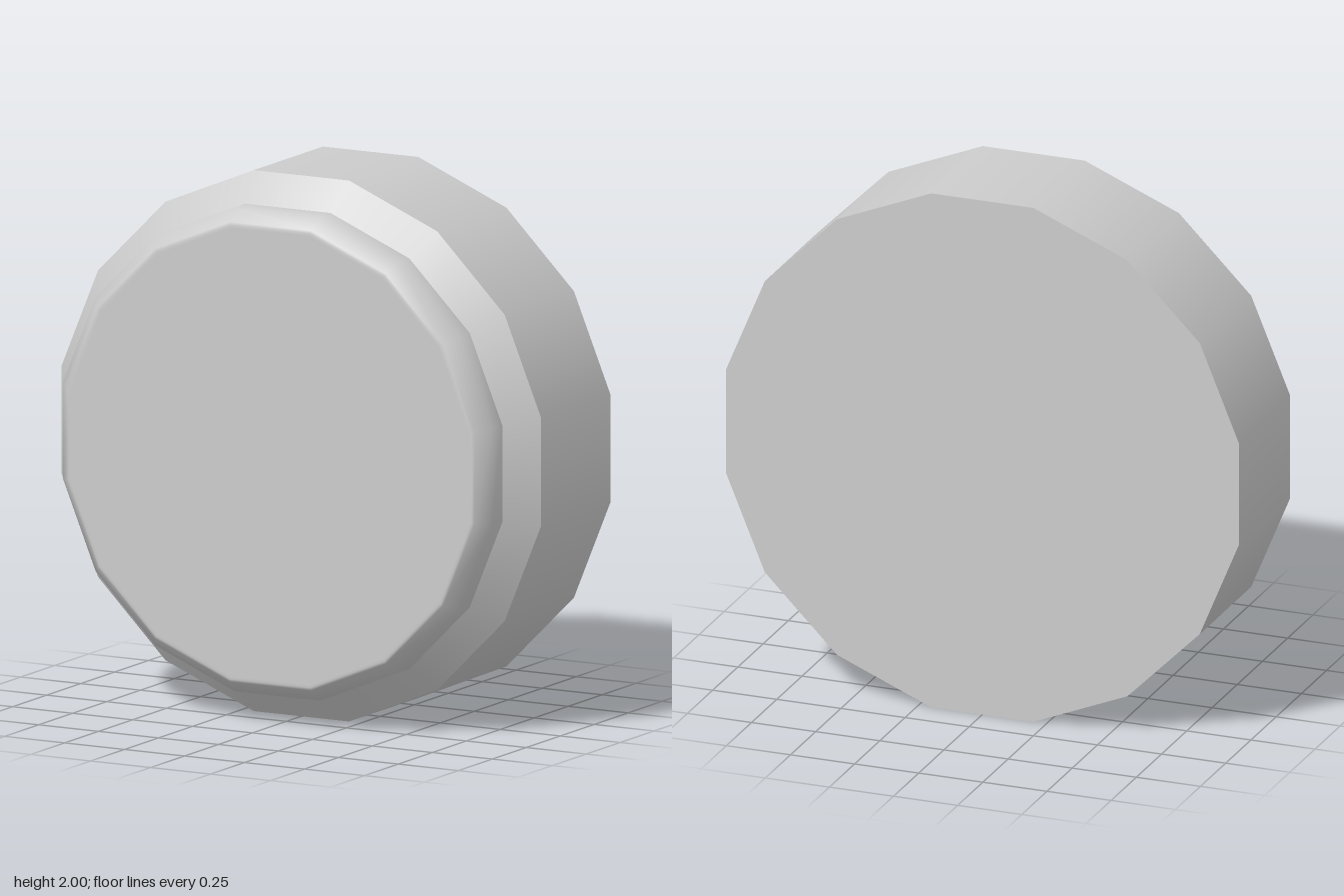
import * as THREE from 'three';

const SIDES = 16;
const gray = new THREE.MeshStandardMaterial({ color: 0xcccccc });
gray.name = 'light gray';

// Sixteen-sided ring turned about z; profile holds [flat-to-centre radius, z] from back to front
function turned(name, profile) {
  const k = 1 / Math.cos(Math.PI / SIDES);
  const points = profile.map(([r, z]) => new THREE.Vector2(r * k, z));
  const geometry = new THREE.LatheGeometry(points, SIDES, Math.PI / SIDES);
  geometry.rotateX(Math.PI / 2);
  const mesh = new THREE.Mesh(geometry, gray);
  mesh.name = name;
  mesh.position.y = 1;
  return mesh;
}

export function createModel() {
  const group = new THREE.Group();
  group.name = 'roundButton';
  group.add(
    // Housing: separate bands keep the edges between them sharp
    turned('housingBack', [[0, -0.37], [1, -0.37]]),
    turned('housingWall', [[1, -0.37], [1, 0.14]]),
    turned('housingChamfer', [[1, 0.14], [0.895, 0.24]]),
    // Raised cap: the rounded rim shades smoothly into the flat face
    turned('cap', [[0.895, 0.24], [0.895, 0.315], [0.85, 0.367], [0.84, 0.37], [0.83, 0.37], [0, 0.37]]),
  );
  return group;
}
